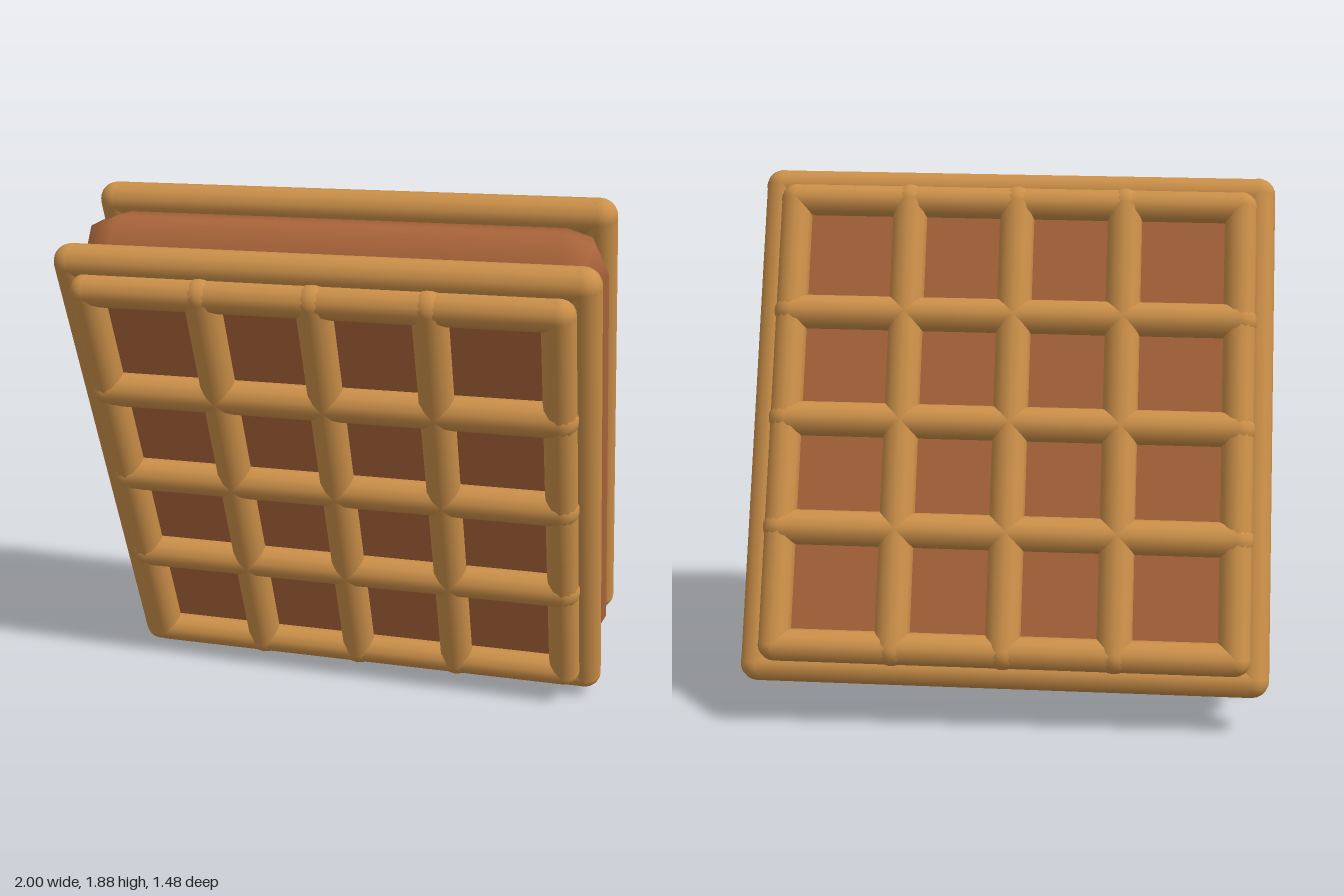
import * as THREE from 'three';
import { RoundedBoxGeometry } from 'three/addons/geometries/RoundedBoxGeometry.js';

const waffle = new THREE.MeshStandardMaterial({ color: 0xcc9049 });
waffle.name = 'golden waffle';
const filling = new THREE.MeshStandardMaterial({ color: 0xa9643a });
filling.name = 'chocolate filling';

// Round-ended bar lying along local x or y
function addBar(parent, name, radius, halfLength, horizontal, x, y, z) {
  const bar = new THREE.Mesh(new THREE.CapsuleGeometry(radius, halfLength * 2, 5, 12), waffle);
  bar.name = name;
  bar.position.set(x, y, z);
  if (horizontal) bar.rotation.z = Math.PI / 2;
  parent.add(bar);
}

// One waffle, its outer face toward local +z
function createWaffle() {
  const group = new THREE.Group();
  const edge = 0.84;
  const border = 0.775;

  // thick rim
  for (const s of [-1, 1]) {
    addBar(group, 'rimSide', 0.06, edge, false, s * edge, 0, 0.21);
    addBar(group, 'rimEnd', 0.06, edge, true, 0, s * edge, 0.21);
  }

  // floor of the pockets
  const floor = new THREE.Mesh(new THREE.BoxGeometry(1.58, 1.58, 0.12), filling);
  floor.name = 'pocketFloor';
  floor.position.z = 0.193;
  group.add(floor);

  // raised grid, its inner bars a little fatter than its border
  for (const p of [-border, -0.375, 0, 0.375, border]) {
    const radius = Math.abs(p) === border ? 0.055 : 0.06;
    addBar(group, 'gridUpright', radius, border, false, p, 0, 0.278);
    addBar(group, 'gridCrossbar', radius, border, true, 0, p, 0.278);
  }
  return group;
}

export function createModel() {
  const model = new THREE.Group();
  model.name = 'waffleSandwich';

  // pillow-shaped filling
  const body = new THREE.Mesh(new RoundedBoxGeometry(1.79, 1.79, 0.3, 1, 0.145), filling);
  body.name = 'filling';
  model.add(body);

  // front and back waffles
  const front = createWaffle();
  front.name = 'frontWaffle';
  const back = createWaffle();
  back.name = 'backWaffle';
  back.rotation.y = Math.PI;
  model.add(front, back);

  // tilt of the whole sandwich
  const across = new THREE.Vector3(0.966, 0.017, 0.257).normalize();
  const up = new THREE.Vector3(-0.094, 0.95, 0.298);
  const out = new THREE.Vector3().crossVectors(across, up).normalize();
  up.crossVectors(out, across);
  model.quaternion.setFromRotationMatrix(new THREE.Matrix4().makeBasis(across, up, out));
  model.position.y = 0.937;

  const root = new THREE.Group();
  root.add(model);
  return root;
}
